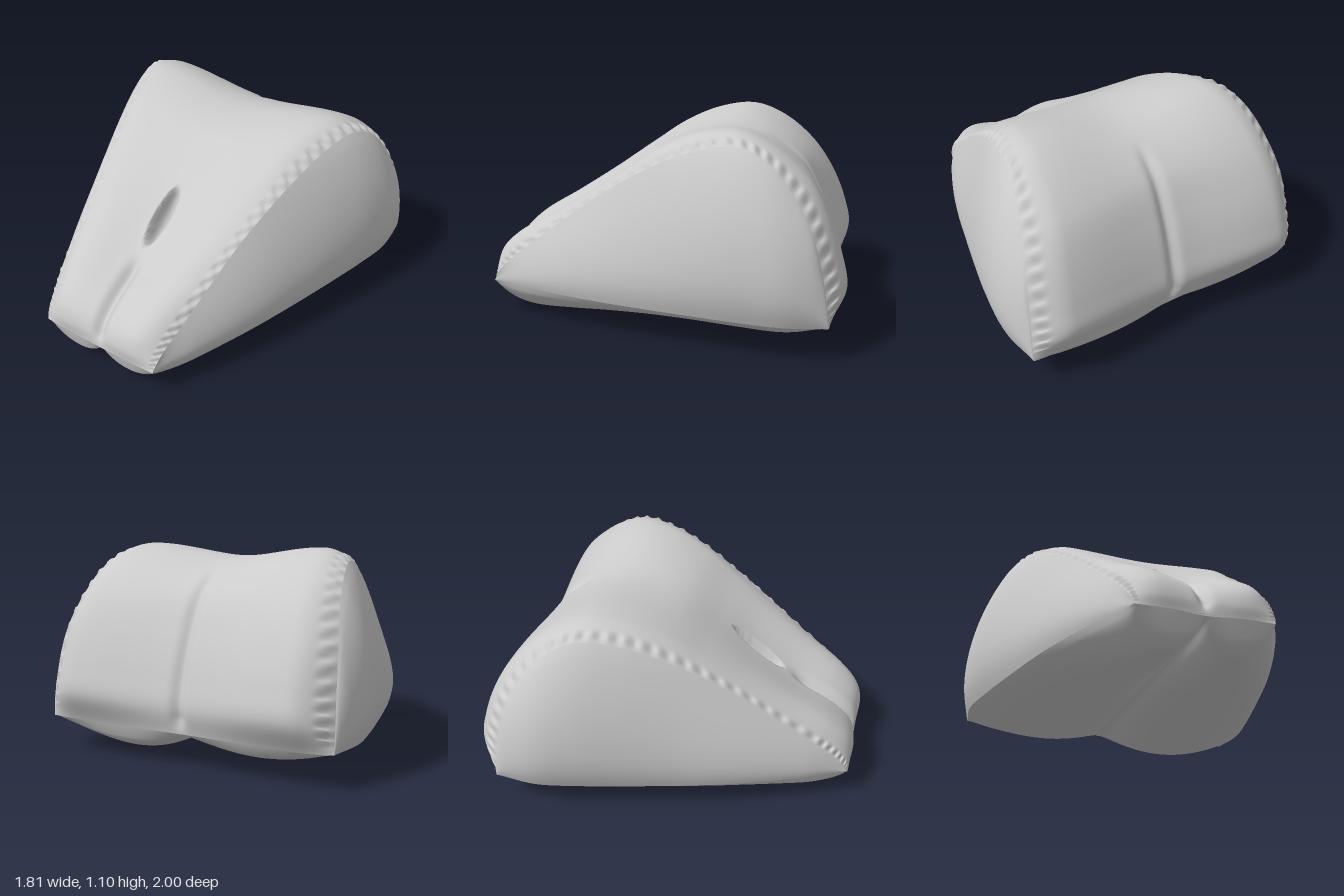
import * as THREE from 'three';

const material = new THREE.MeshStandardMaterial({ color: 0xcccccc, roughness: 0.8, side: THREE.DoubleSide });
const EDGE_Y = 0.18, BACK_Z = -0.88, LENGTH = 1.87;

// Profile rows from front foot over the crest to back foot:
// crease x, z, y | lobe z, y | centre line z, y
const rows = [
  [0.36, 0.99, 0.18, 0.995, 0.18, 0.99, 0.17],
  [0.37, 0.965, 0.23, 1.0, 0.25, 0.985, 0.25],
  [0.385, 0.90, 0.30, 0.97, 0.34, 0.95, 0.32],
  [0.41, 0.80, 0.385, 0.87, 0.44, 0.86, 0.40],
  [0.45, 0.60, 0.54, 0.64, 0.58, 0.62, 0.53],
  [0.49, 0.40, 0.69, 0.42, 0.72, 0.40, 0.68],
  [0.54, 0.20, 0.82, 0.20, 0.87, 0.20, 0.84],
  [0.59, 0.00, 0.93, 0.00, 1.00, 0.00, 0.98],
  [0.64, -0.20, 1.01, -0.20, 1.08, -0.19, 1.035],
  [0.69, -0.40, 1.04, -0.40, 1.10, -0.37, 1.04],
  [0.73, -0.55, 0.98, -0.58, 1.03, -0.54, 0.99],
  [0.77, -0.68, 0.84, -0.76, 0.88, -0.71, 0.87],
  [0.81, -0.78, 0.66, -0.89, 0.69, -0.82, 0.68],
  [0.83, -0.84, 0.45, -0.975, 0.48, -0.90, 0.46],
  [0.84, -0.87, 0.28, -1.0, 0.33, -0.93, 0.31],
  [0.84, -0.88, 0.18, -0.92, 0.18, -0.90, 0.18],
];
const through = pick => new THREE.CatmullRomCurve3(rows.map(pick));
const crease = through(r => new THREE.Vector3(r[0], r[2], r[1]));
const lobe = through(r => new THREE.Vector3(0, r[4], r[3]));
const centre = through(r => new THREE.Vector3(0, r[6], r[5]));

// Evenly spaced values from back to front, smoothly joined
const spline = values => {
  const curve = new THREE.SplineCurve(values.map((y, i) => new THREE.Vector2(i, y)));
  return v => curve.getPoint(THREE.MathUtils.clamp(v, 0, 1)).y;
};
const edgeWidth = spline([0.84, 0.86, 0.82, 0.765, 0.705, 0.64, 0.56, 0.465, 0.36]);
const bellyDepth = spline([0.15, 0.16, 0.145, 0.13, 0.13, 0.145, 0.17, 0.19, 0.18]);
const { smoothstep: smooth, lerp } = THREE.MathUtils;

// Bends a plane grid by a rule (u, v) -> point
function sheet(name, nu, nv, rule) {
  const geometry = new THREE.PlaneGeometry(1, 1, nu, nv);
  const { position, uv } = geometry.attributes;
  for (let i = 0; i < position.count; i++) {
    const p = rule(uv.getX(i), uv.getY(i));
    position.setXYZ(i, p.x, p.y, p.z);
  }
  geometry.computeVertexNormals();
  const mesh = new THREE.Mesh(geometry, material);
  mesh.name = name;
  return mesh;
}

// Cross-row of the upper skin: centre line, raised lobe, crease
function skin(u, t) {
  const c = crease.getPoint(t), l = lobe.getPoint(t), a = Math.abs(u);
  const peak = lerp(0.55, 0.77, smooth(t, 0, 0.55));
  // the left back lobe is slightly flatter
  if (u > 0) l.z += 0.035 * smooth(-l.z, 0.75, 1);
  const p = a < peak
    ? centre.getPoint(t).lerp(l, smooth(a, 0, peak))
    : l.lerp(c, ((a - peak) / (1 - peak)) ** 2);
  p.x = u * c.x;
  return p;
}

// Upper skin with the middle grooves, the slot in the slope and stitched borders
function upper(s, t) {
  const u = s * 2 - 1;
  const p = skin(u, t);
  const groove = Math.exp(-((p.x / 0.035) ** 2));
  const front = smooth(p.z, 0.58, 0.72) * smooth(t, 0, 0.1);
  const back = smooth(-p.z, 0.5, 0.7) * smooth(1 - t, 0, 0.05);
  const slot = Math.max(0, 1 - (p.x / 0.045) ** 2 - ((p.z - 0.41) / 0.14) ** 2);
  const dent = 0.1 * Math.sqrt(slot);
  const stitch = 0.008 * smooth(Math.abs(u), 0.9, 0.95) * smooth(1 - Math.abs(u), 0, 0.04)
    * Math.sin(t * 230) * smooth(t, 0, 0.05) * smooth(1 - t, 0, 0.05);
  p.x += Math.sign(u) * stitch;
  p.y += stitch - 0.035 * groove * front - 0.8 * dent;
  p.z += 0.03 * groove * back - 0.02 * groove * front - 0.6 * dent;
  return p;
}

// Bulging flank from the crease down to the lower edge, fuller at the back
function flank(s, t, side) {
  const c = crease.getPoint(t);
  const h = c.y - EDGE_Y;
  const foot = edgeWidth((c.z - BACK_Z) / LENGTH);
  const x = c.x + (foot - c.x) * (s + 0.4 * Math.sin(Math.PI * s))
    + 0.052 * h * smooth(-c.z, -0.3, 0.5) * Math.sin(Math.PI * s ** 0.7)
    + 0.03 * h * Math.sin(Math.PI * s ** 3);
  return new THREE.Vector3(side * x, c.y - h * s, c.z);
}

// Underside: two long rounded lobes with a cleft between them, the right one shallower at the back
function under(s, v) {
  const u = s * 2 - 1;
  const z = lerp(skin(u, 1).z, skin(u, 0).z, v);
  const round = Math.sqrt(Math.max(0, 1 - Math.abs(2 * v - 1) ** lerp(8, 14, v)));
  const lobes = Math.max(0, Math.sin(Math.PI * Math.abs(u) ** 0.85)) ** lerp(0.85, 0.6, v);
  const bulge = Math.max(lobes, 0.2 * smooth(1 - Math.abs(u), 0.5, 0.9));
  const share = u < 0 ? lerp(0.7, 1, v) : lerp(1, 0.9, v);
  return new THREE.Vector3(u * edgeWidth(v), EDGE_Y - bellyDepth(v) * share * round * bulge, z);
}

export function createModel() {
  const group = new THREE.Group();
  group.name = 'wedgeBody';
  group.add(
    sheet('upperSkin', 120, 200, upper),
    sheet('leftFlank', 24, 200, (s, t) => flank(s, t, 1)),
    sheet('rightFlank', 24, 200, (s, t) => flank(1 - s, t, -1)),
    sheet('underside', 80, 90, under),
  );
  return group;
}
